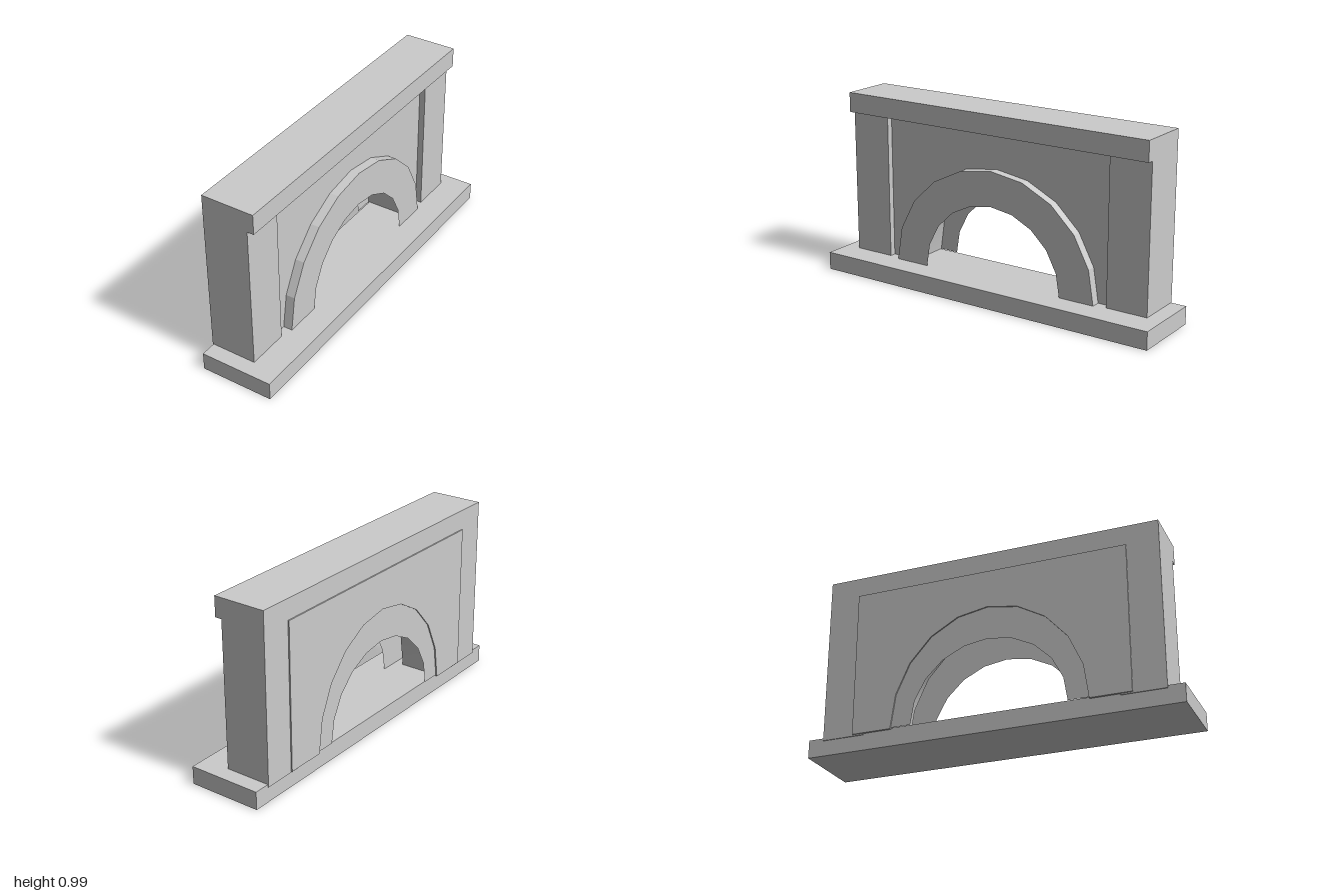
import * as THREE from 'three';
import { toCreasedNormals } from 'three/addons/utils/BufferGeometryUtils.js';

const ARCH_SEGMENTS = 10;

export function createModel() {
  const group = new THREE.Group();
  const solid = new THREE.MeshStandardMaterial({ color: 0xcccccc });
  const sheet = new THREE.MeshStandardMaterial({ color: 0xcccccc, side: THREE.DoubleSide, flatShading: true });

  function add(name, geometry, material = solid) {
    const mesh = new THREE.Mesh(geometry, material);
    mesh.name = name;
    group.add(mesh);
    return mesh;
  }

  // Box given by its limits on each axis
  function addBox(name, x0, x1, y0, y1, z0, z1) {
    add(name, new THREE.BoxGeometry(x1 - x0, y1 - y0, z1 - z0))
      .position.set((x0 + x1) / 2, (y0 + y1) / 2, (z0 + z1) / 2);
  }

  // Half ellipse from right foot over the crown to left foot
  function archPoints(rx, ry, footY) {
    return Array.from({ length: ARCH_SEGMENTS + 1 }, (_, i) => {
      const a = (i / ARCH_SEGMENTS) * Math.PI;
      return new THREE.Vector2(rx * Math.cos(a), footY + ry * Math.sin(a));
    });
  }

  // Hearth slab, mantel and side pillars
  addBox('hearthSlab', -0.195, 0.205, 0, 0.097, -1, 1);
  addBox('mantelShelf', -0.2, 0.09, 0.885, 0.993, -0.915, 0.915);
  for (const [name, side] of [['leftPillar', -1], ['rightPillar', 1]]) {
    addBox(name, -0.2, 0.053, 0.083, 0.885, side * 0.8 - 0.115, side * 0.8 + 0.115);
  }

  // Recessed wall panel with an arched opening, smooth inside the arch
  const wall = new THREE.Shape([
    new THREE.Vector2(0.745, 0.09),
    new THREE.Vector2(0.745, 0.885),
    new THREE.Vector2(-0.745, 0.885),
    new THREE.Vector2(-0.745, 0.09),
    ...archPoints(0.53, 0.59, 0.09).reverse(),
  ]);
  const wallGeometry = new THREE.ExtrudeGeometry(wall, { depth: 0.227, bevelEnabled: false });
  wallGeometry.rotateY(Math.PI / 2).translate(-0.207, 0, 0);
  add('wallPanel', toCreasedNormals(wallGeometry, 0.5));

  // Arch faces, front and back
  const ring = new THREE.Shape([
    ...archPoints(0.62, 0.595, 0.097),
    ...archPoints(0.42, 0.405, 0.097).reverse(),
  ]);
  for (const [name, x] of [['archFront', 0.07], ['archBack', -0.2]]) {
    add(name, new THREE.ShapeGeometry(ring).rotateY(Math.PI / 2).translate(x, 0, 0), sheet);
  }

  // Outer rim joining the front arch face to the wall
  const rim = new THREE.CylinderGeometry(1, 1, 0.05, ARCH_SEGMENTS, 1, true, 0, Math.PI);
  rim.rotateZ(Math.PI / 2).scale(1, 0.595, 0.62).translate(0.045, 0.097, 0);
  add('archRim', rim, sheet);

  return group;
}
